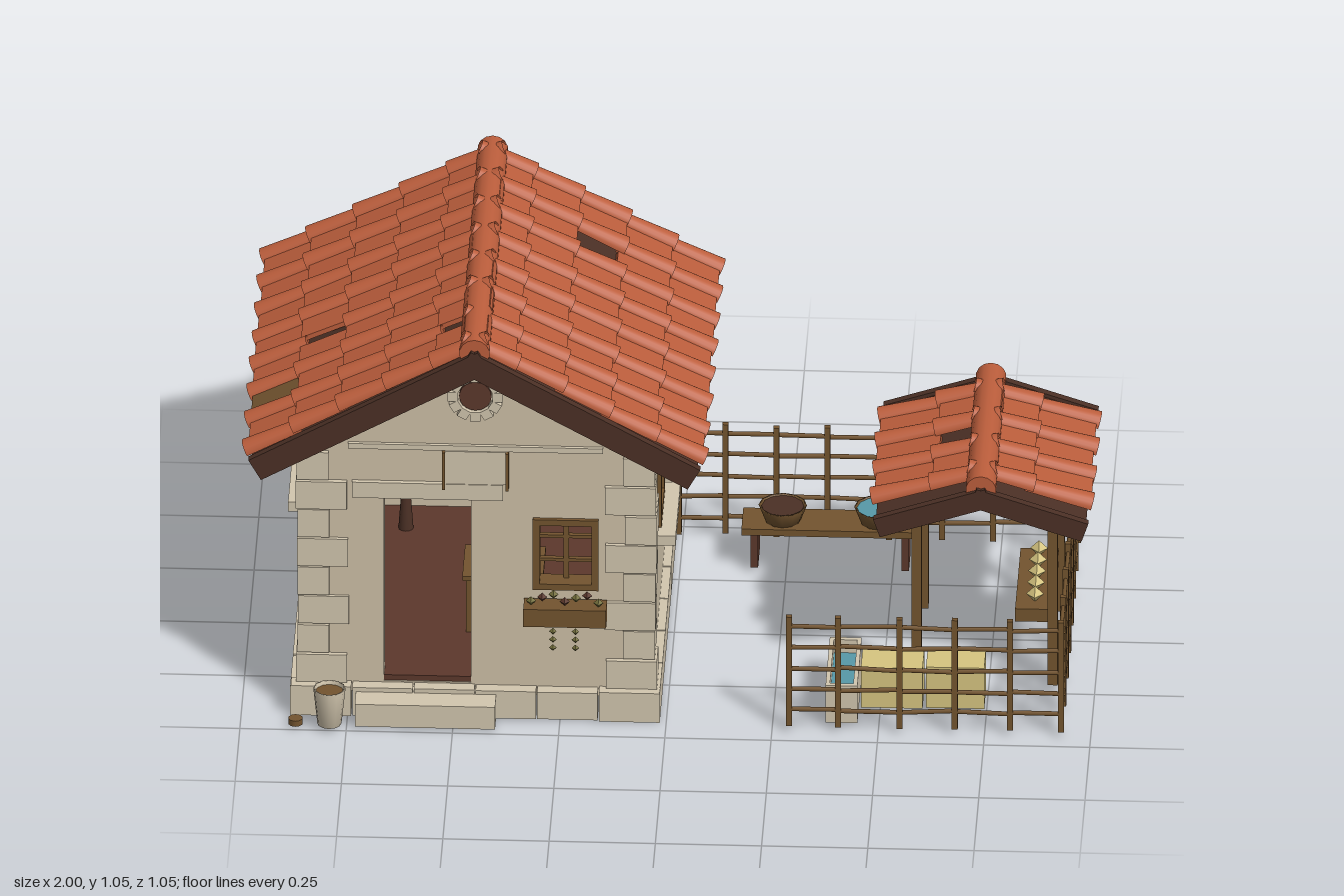
import * as THREE from 'three';

const mat = (name, color, side = THREE.FrontSide) => {
  const m = new THREE.MeshStandardMaterial({ color, side });
  m.name = name;
  return m;
};
const M = {
  wall: mat('plaster', 0xcec0a7),
  stone: mat('pale stone', 0xd2c6ae),
  tile: mat('terracotta', 0xbc5e3c, THREE.DoubleSide),
  dark: mat('dark timber', 0x4b3025),
  wood: mat('brown timber', 0x73542f),
  red: mat('red brown boards', 0x5c382c),
  hay: mat('straw', 0xd6c580),
  water: mat('water', 0x5799a8),
  leaf: mat('leaves', 0x75703c),
};

let seed = 7;
const jitter = (a) => {
  seed = (seed * 16807) % 2147483647;
  return (seed / 2147483647 - 0.5) * 2 * a;
};

function group(parent, name, x = 0, y = 0, z = 0) {
  const g = new THREE.Group();
  g.name = name;
  g.position.set(x, y, z);
  parent.add(g);
  return g;
}
function add(parent, name, geo, m, x = 0, y = 0, z = 0) {
  const mesh = new THREE.Mesh(geo, m);
  mesh.name = name;
  mesh.position.set(x, y, z);
  parent.add(mesh);
  return mesh;
}
const box = (p, name, m, w, h, d, x, y, z) => add(p, name, new THREE.BoxGeometry(w, h, d), m, x, y, z);
// box given by its limits
const span = (p, name, m, x0, x1, y0, y1, z0, z1) =>
  box(p, name, m, x1 - x0, y1 - y0, z1 - z0, (x0 + x1) / 2, (y0 + y1) / 2, (z0 + z1) / 2);
const cyl = (p, name, m, r0, r1, h, x, y, z, n = 12) =>
  add(p, name, new THREE.CylinderGeometry(r0, r1, h, n), m, x, y, z);
// round bar between two points
function bar(p, name, m, a, b, r) {
  const d = b.clone().sub(a);
  const mesh = cyl(p, name, m, r, r, d.length(), 0, 0, 0, 6);
  mesh.position.copy(a).add(b).multiplyScalar(0.5);
  mesh.quaternion.setFromUnitVectors(new THREE.Vector3(0, 1, 0), d.normalize());
}

// wall panel: outline points and rectangular openings [x0, x1, y0, y1]
function wallGeo(points, holes, depth) {
  const s = new THREE.Shape(points.map(([x, y]) => new THREE.Vector2(x, y)));
  for (const [a, b, c, d] of holes) {
    s.holes.push(new THREE.Path([[a, c], [a, d], [b, d], [b, c]].map(([x, y]) => new THREE.Vector2(x, y))));
  }
  return new THREE.ExtrudeGeometry(s, { depth, bevelEnabled: false });
}

// framed window facing +z, centred on its opening
function windowUnit(parent, x, y, z, turn, w, h, lintel = true, sill = true) {
  const g = group(parent, 'window', x, y, z);
  g.rotation.y = turn;
  for (const s of [-1, 1]) {
    box(g, 'windowJamb', M.wood, 0.016, h, 0.05, s * (w / 2 - 0.008), 0, -0.015);
    box(g, 'windowRail', M.wood, w, 0.016, 0.05, 0, s * (h / 2 - 0.008), -0.015);
  }
  box(g, 'mullion', M.wood, 0.012, h, 0.015, 0, 0, -0.03);
  for (const s of [-1, 1]) box(g, 'glazingBar', M.wood, w, 0.008, 0.012, 0, s * h / 6, -0.03);
  if (sill) box(g, 'sill', M.stone, w + 0.08, 0.026, 0.06, 0, -h / 2 - 0.013, 0.015);
  if (lintel) box(g, 'lintel', M.dark, w + 0.05, 0.03, 0.035, 0, h / 2 + 0.013, 0.005);
}

// pitched tile roof; skip holds keys of lost tiles, swap a replaced one
function roof(parent, o) {
  const g = group(parent, o.name, o.x, o.y, o.z);
  for (const side of [0, 1]) {
    const flip = group(g, side ? 'leftPitch' : 'rightPitch');
    flip.rotation.y = side * Math.PI;
    const s = group(flip, 'slope');
    s.rotation.z = -o.angle;
    span(s, 'roofDeck', M.dark, 0, o.len - 0.015, -0.022, -0.004, -o.half + 0.01, o.half - 0.01);
    for (const e of [-1, 1]) box(s, 'bargeBoard', M.dark, o.len, o.board, 0.02, o.len / 2 - 0.012, 0.005 - o.board / 2, e * (o.half - 0.01));
    box(s, 'eaveBoard', M.dark, 0.016, 0.035, o.half * 2, o.len - 0.025, -0.022, 0);
    const step = (o.len + 0.01) / o.rows, first = -o.gap * (o.caps - 1) / 2;
    for (let r = 0; r < o.rows; r++) {
      const cx = -0.03 + (r + 0.5) * step;
      for (let i = 0; i < o.caps; i++) {
        const z = first + i * o.gap;
        if (!o.skip.includes(`${side}cap${r},${i}`)) {
          const half = new THREE.CylinderGeometry(0.022, 0.029, step + 0.02, 10, 1, true, 0, Math.PI);
          const c = add(s, 'capTile', half, M.tile, cx, 0.008 + jitter(0.002), z + jitter(0.002));
          c.rotation.z = Math.PI / 2 + 0.04;
        }
        const key = `${side}pan${r},${i}`;
        if (i === o.caps - 1 || o.skip.includes(key)) continue;
        const t = box(s, 'panTile', o.swap === key ? M.wood : M.tile, step + 0.01, 0.012, o.gap - 0.042, cx + jitter(0.003), 0.009, z + o.gap / 2);
        t.rotation.z = 0.08 + jitter(0.012);
      }
    }
    // rafter tails
    for (let i = 0; i < o.tails; i++) {
      const z = (i - (o.tails - 1) / 2) * o.tailGap;
      box(s, 'rafterTail', M.dark, 0.13, 0.045, 0.022, o.len - 0.115, -0.045, z);
    }
  }
  const ridge = cyl(g, 'ridgeTiles', M.tile, 0.036, 0.036, o.half * 2 - 0.02, 0, 0.002, 0, 14);
  ridge.rotation.x = Math.PI / 2;
}

function buildHouse(root) {
  const h = group(root, 'house');
  const L = -0.86, R = -0.035, F = 0.4, B = -0.455, C = -0.45;
  const gable = [[L, 0.05], [R, 0.05], [R, 0.73], [C, 0.965], [L, 0.73]];
  const side = [[-F + 0.05, 0.05], [-B - 0.05, 0.05], [-B - 0.05, 0.73], [-F + 0.05, 0.73]];
  add(h, 'frontWall', wallGeo(gable, [[-0.665, -0.46, 0.08, 0.58], [-0.315, -0.16, 0.34, 0.53]], 0.05), M.wall, 0, 0, F - 0.05);
  add(h, 'backWall', wallGeo(gable, [[-0.665, -0.525, 0.375, 0.535], [-0.39, -0.25, 0.375, 0.535]], 0.05), M.wall, 0, 0, B);
  const rightWall = wallGeo(side, [[-0.11, 0.065, 0.345, 0.53]], 0.05).rotateY(Math.PI / 2);
  const leftWall = wallGeo(side, [[-0.05, 0.09, 0.38, 0.54]], 0.05).rotateY(Math.PI / 2);
  add(h, 'rightWall', rightWall, M.wall, R - 0.05, 0, 0);
  add(h, 'leftWall', leftWall, M.wall, L, 0, 0);

  windowUnit(h, -0.2375, 0.435, F, 0, 0.155, 0.19, false, false);
  for (const x of [-0.595, -0.32]) windowUnit(h, x, 0.455, B, Math.PI, 0.14, 0.16);
  windowUnit(h, R, 0.4375, 0.0225, Math.PI / 2, 0.175, 0.185, false);
  windowUnit(h, L, 0.46, -0.02, -Math.PI / 2, 0.14, 0.16);

  // plinth stones, floor and underside
  span(h, 'floor', M.red, L + 0.03, R - 0.03, 0.07, 0.094, B + 0.03, F - 0.003);
  span(h, 'underside', M.dark, L + 0.01, R - 0.01, 0.05, 0.07, B + 0.01, F - 0.005);
  for (let i = 0; i < 6; i++) {
    const x0 = -0.885 + i * 0.145, z0 = -0.475 + i * 0.151;
    const t = () => 0.076 + jitter(0.004);
    for (const z of [-0.455, 0.41]) box(h, 'plinthStone', M.stone, 0.142, t(), 0.04, x0 + 0.0725, 0.038, z);
    for (const x of [-0.865, -0.035]) box(h, 'plinthStone', M.stone, 0.04, t(), 0.148, x, 0.038, z0 + 0.0755);
  }
  // corner stones
  for (const [x, sx] of [[L, -1], [R, 1]]) for (const [z, sz] of [[B, -1], [F, 1]]) {
    for (let i = 0; i < 8; i++) {
      const w = i % 2 ? 0.075 : 0.12, d = i % 2 ? 0.12 : 0.075, p = 0.01 + jitter(0.003);
      box(h, 'cornerStone', M.stone, w, 0.074, d, x + sx * (p - w / 2), 0.116 + i * 0.078, z + sz * (p - d / 2));
    }
  }
  // door surround, gable band and hung board
  span(h, 'doorLintel', M.stone, -0.74, -0.385, 0.58, 0.622, F - 0.03, F + 0.012);
  span(h, 'doorStep', M.stone, -0.73, -0.4, 0.005, 0.065, F, 0.49);
  for (const z of [F + 0.003, B - 0.003]) box(h, 'gableBand', M.stone, 0.6, 0.014, 0.012, C, 0.718, z);
  span(h, 'hungBoard', M.stone, -0.525, -0.375, 0.622, 0.71, F, F + 0.01);
  for (const x of [-0.525, -0.375]) box(h, 'boardEdge', M.wood, 0.007, 0.1, 0.02, x, 0.66, F + 0.008);
  // round gable vent
  const vent = group(h, 'gableVent', C, 0.86, F);
  cyl(vent, 'ventDisc', M.red, 0.038, 0.038, 0.01, 0, 0, 0.004, 20).rotation.x = Math.PI / 2;
  for (let i = 0; i < 12; i++) {
    const a = i * Math.PI / 6;
    box(vent, 'ventStone', M.stone, 0.024, 0.024, 0.016, 0.053 * Math.cos(a), 0.053 * Math.sin(a), 0.006).rotation.z = a;
  }
  // flower box
  span(h, 'flowerBox', M.wood, -0.335, -0.14, 0.268, 0.315, F + 0.006, 0.46);
  for (let i = 0; i < 7; i++) {
    const x = -0.318 + i * 0.0265;
    add(h, 'flower', new THREE.OctahedronGeometry(0.012), i % 2 ? M.red : M.leaf, x, 0.325 + (i % 3) * 0.009, 0.437 + jitter(0.01));
    if (i === 2 || i === 4) for (let k = 0; k < 3; k++) add(h, 'trailingLeaf', new THREE.OctahedronGeometry(0.009), M.leaf, x, 0.26 - k * 0.022, 0.464);
  }
  // furniture
  span(h, 'tableTop', M.wood, -0.49, -0.3, 0.24, 0.252, 0.05, 0.2);
  for (const x of [-0.475, -0.32]) for (const z of [0.07, 0.18]) box(h, 'tableLeg', M.wood, 0.014, 0.16, 0.014, x, 0.16, z);
  cyl(h, 'jug', M.dark, 0.007, 0.018, 0.16, -0.645, 0.17, -0.3);

  roof(h, {
    name: 'houseRoof', x: C, y: 1.0, z: -0.03, angle: 0.515, len: 0.62, half: 0.495, board: 0.06, rows: 5, caps: 8, gap: 0.129,
    skip: ['0pan2,1', '1cap3,3', '1cap0,1'], swap: '1pan4,1', tails: 7, tailGap: 0.127,
  });
}

function buildShelter(root) {
  const s = group(root, 'shelter');
  for (const x of [0.58, 0.9]) {
    for (const z of [0.21, -0.14]) box(s, 'shelterPost', M.wood, 0.024, 0.5, 0.024, x, 0.255, z);
    box(s, 'shelterBeam', M.dark, 0.022, 0.025, 0.5, x, 0.485, 0.035);
  }
  roof(s, {
    name: 'shelterRoof', x: 0.735, y: 0.575, z: 0.035, angle: 0.32, len: 0.277, half: 0.28, board: 0.05, rows: 2, caps: 4, gap: 0.129,
    skip: ['1pan0,1'], swap: '', tails: 2, tailGap: 0.43,
  });
  // plant shelf and hanging pots
  span(s, 'plantShelf', M.wood, 0.81, 0.9, 0.152, 0.186, -0.108, 0.18);
  for (let i = 0; i < 5; i++) add(s, 'shelfPlant', new THREE.OctahedronGeometry(0.021), M.hay, 0.855, 0.205, 0.14 - i * 0.054);
  for (const [z, m] of [[0.07, M.tile], [-0.03, M.wood]]) {
    cyl(s, 'hangingPot', m, 0.018, 0.011, 0.03, 0.9, 0.445, z, 8);
    cyl(s, 'potCord', M.dark, 0.003, 0.003, 0.03, 0.9, 0.47, z, 5);
  }
}

function buildFence(root) {
  const f = group(root, 'fence');
  const run = (pts) => pts.forEach(([x, z], i) => {
    box(f, 'fencePost', M.wood, 0.014, 0.295, 0.014, x, 0.157 + jitter(0.004), z);
    if (!i) return;
    const [px, pz] = pts[i - 1];
    for (const y of [0.055, 0.11, 0.167, 0.225, 0.28]) {
      bar(f, 'fenceRail', M.wood, new THREE.Vector3(px, y + jitter(0.004), pz), new THREE.Vector3(x, y + jitter(0.004), z), 0.0055);
    }
  });
  run([0.29, 0.405, 0.55, 0.68, 0.81, 0.93].map((x) => [x, 0.447]));
  run([0.447, 0.327, 0.195, 0.068, -0.06, -0.19, -0.32, -0.452].map((z) => [0.93, z]));
  run([-0.01, 0.1, 0.22, 0.34, 0.485, 0.61, 0.73, 0.93].map((x) => [x, -0.452]));
}

// tapered open tub with contents
function tub(parent, name, m, fill, r, h, x, y, z) {
  const pts = [[0, 0], [r * 0.75, 0], [r, h], [r * 0.9, h], [r * 0.86, h * 0.8]].map(([a, b]) => new THREE.Vector2(a, b));
  add(parent, name, new THREE.LatheGeometry(pts, 12), m, x, y, z);
  cyl(parent, name + 'Contents', fill, r * 0.88, r * 0.88, 0.004, x, y + h * 0.88, z);
}

function buildYard(root) {
  const y = group(root, 'yard');
  // bench with basins
  span(y, 'benchTop', M.wood, 0.145, 0.56, 0.1, 0.117, -0.39, -0.288);
  for (const x of [0.175, 0.53]) box(y, 'benchLeg', M.red, 0.018, 0.09, 0.09, x, 0.055, -0.339);
  tub(y, 'darkBasin', M.wood, M.dark, 0.057, 0.038, 0.24, 0.117, -0.34);
  tub(y, 'waterBasin', M.wood, M.water, 0.057, 0.038, 0.465, 0.117, -0.34);
  // straw bales
  span(y, 'bale', M.hay, 0.455, 0.6, 0.01, 0.118, 0.257, 0.355);
  span(y, 'bale', M.hay, 0.608, 0.745, 0.01, 0.12, 0.257, 0.35);
  // stone trough
  span(y, 'troughBase', M.stone, 0.375, 0.45, 0.01, 0.05, 0.2, 0.43);
  for (const x of [0.38, 0.445]) box(y, 'troughSide', M.stone, 0.01, 0.1, 0.23, x, 0.06, 0.315);
  for (const z of [0.206, 0.424]) box(y, 'troughEnd', M.stone, 0.07, 0.1, 0.012, 0.4125, 0.06, z);
  span(y, 'troughWater', M.water, 0.384, 0.441, 0.05, 0.075, 0.211, 0.419);
  // bucket and little stump by the door
  tub(y, 'bucket', M.stone, M.wood, 0.038, 0.095, -0.79, 0.01, 0.485);
  cyl(y, 'stump', M.wood, 0.017, 0.017, 0.015, -0.87, 0.012, 0.48, 10);
}

export function createModel() {
  const root = new THREE.Group();
  root.name = 'farmhouse';
  buildHouse(root);
  buildShelter(root);
  buildFence(root);
  buildYard(root);
  return root;
}
